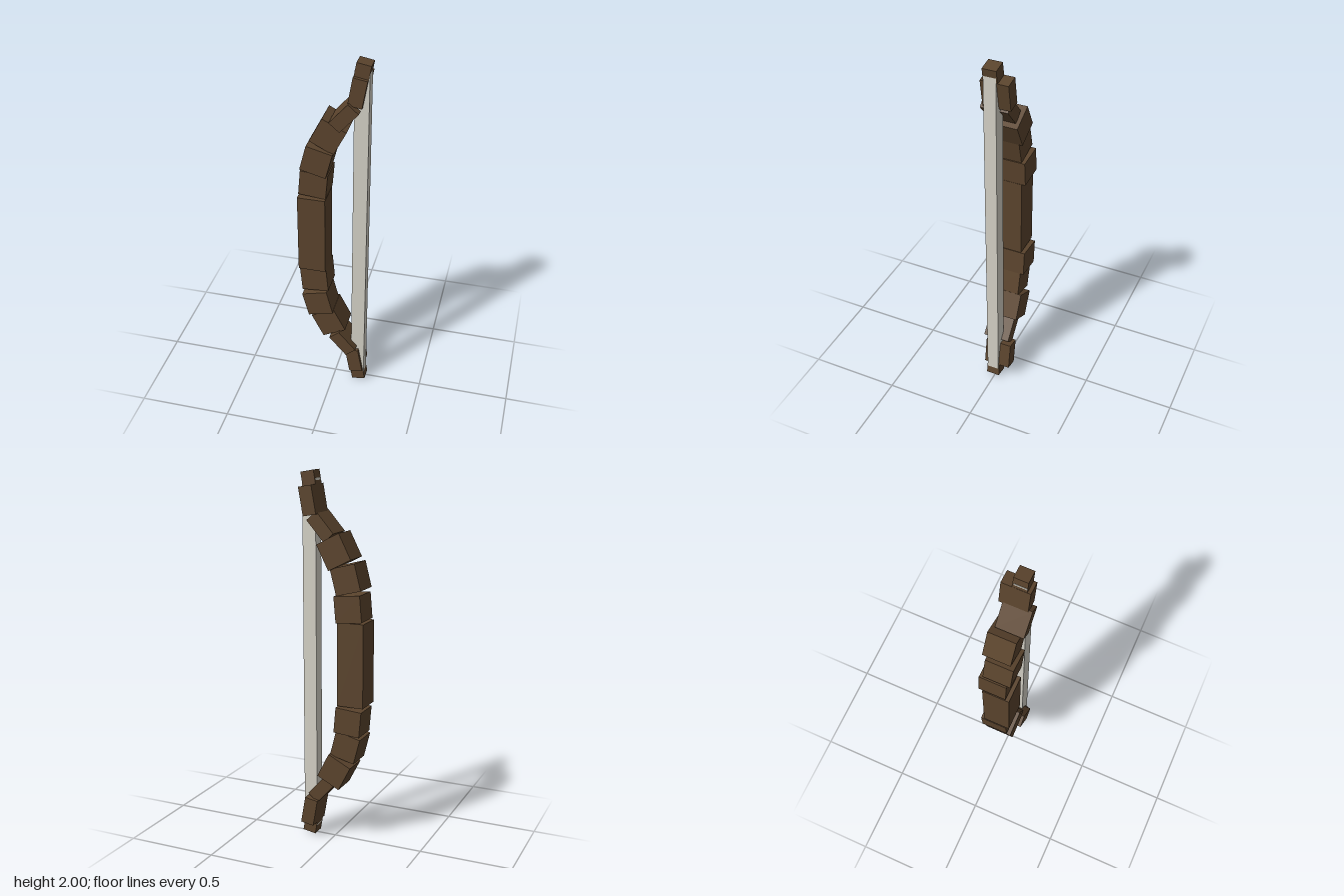
import * as THREE from 'three';

export function createModel() {
  const model = new THREE.Group();
  model.name = 'bow';

  const wood = new THREE.MeshStandardMaterial({ color: 0x5b442d });
  wood.name = 'dark wood';
  const cord = new THREE.MeshStandardMaterial({ color: 0xd4d1c6 });
  cord.name = 'pale cord';

  function block(parent, name, material, [w, h, d], [x, y, z], lean = 0) {
    const mesh = new THREE.Mesh(new THREE.BoxGeometry(w, h, d), material);
    mesh.name = name;
    mesh.position.set(x, y, z);
    mesh.rotation.z = THREE.MathUtils.degToRad(-lean);
    parent.add(mesh);
  }

  // Grip and bowstring
  block(model, 'grip', wood, [0.148, 0.452, 0.148], [-0.111, 1.002, 0.01]);
  block(model, 'bowstring', cord, [0.075, 1.91, 0.066], [0.139, 1.003, 0.011]);

  // Limb blocks from grip to tip: name, width, length, depth, x, height above grip centre, z, lean
  // Neighbouring blocks are staggered slightly in z
  const limbBlocks = [
    ['innerLimb', 0.146, 0.14, 0.148, -0.105, 0.304, -0.01, 5],
    ['midLimb', 0.141, 0.143, 0.148, -0.083, 0.452, 0.01, 14.5],
    ['outerLimb', 0.14, 0.148, 0.148, -0.026, 0.594, -0.01, 27],
    ['limbNeck', 0.072, 0.146, 0.148, 0.059, 0.716, 0.01, 41],
    ['recurve', 0.074, 0.15, 0.148, 0.121, 0.848, -0.01, 10],
    ['tip', 0.074, 0.074, 0.074, 0.141, 0.957, 0.009, 10],
  ];

  // Mirror the limb above and below the grip
  for (const side of [1, -1]) {
    const limb = new THREE.Group();
    limb.name = side > 0 ? 'upperLimb' : 'lowerLimb';
    limb.position.y = 1;
    for (const [name, w, h, d, x, y, z, lean] of limbBlocks) {
      block(limb, name, wood, [w, h, d], [x, side * y, z], side * lean);
    }
    model.add(limb);
  }
  return model;
}
